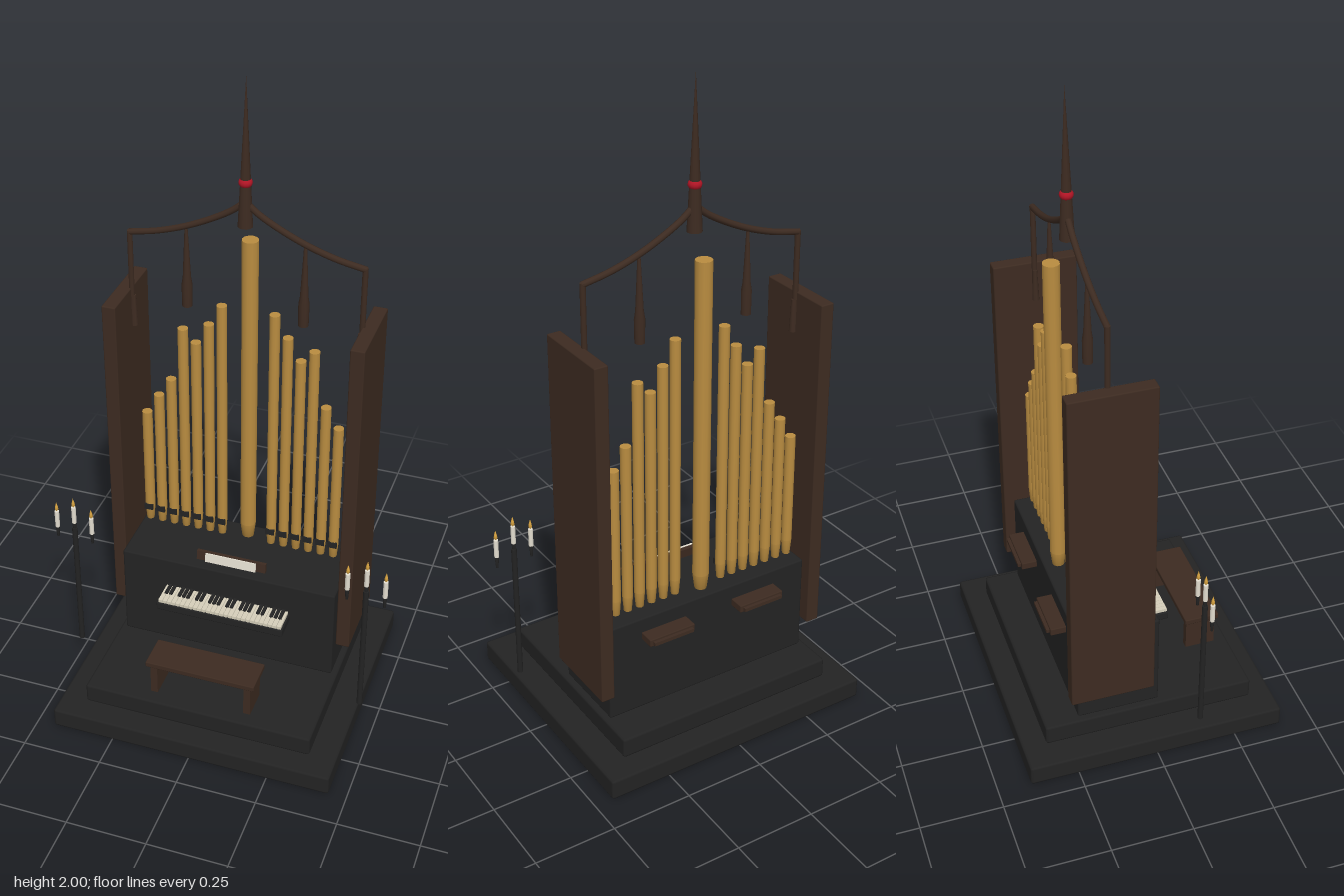
import * as THREE from 'three';
import { RoundedBoxGeometry } from 'three/addons/geometries/RoundedBoxGeometry.js';

const mat = (name, color) => {
  const m = new THREE.MeshStandardMaterial({ color });
  m.name = name;
  return m;
};

export function createModel() {
  const model = new THREE.Group();
  model.name = 'pipeOrgan';
  const black = mat('blackLacquer', 0x232323);
  const wood = mat('darkWood', 0x3d2b21);
  const gold = mat('pipeGold', 0xb98c40);
  const ivory = mat('ivory', 0xd6cfba);
  const wax = mat('wax', 0xe6e0d2);
  const flameMat = mat('flame', 0xd9a441);
  const red = mat('redGem', 0xb01525);

  const add = (name, geo, material, x = 0, y = 0, z = 0, parent = model) => {
    const m = new THREE.Mesh(geo, material);
    m.name = name;
    m.position.set(x, y, z);
    parent.add(m);
    return m;
  };
  // Boxes are given by their minimum and maximum corners
  const box = (name, a, b, material, bevel = 0, parent = model) => {
    const s = b.map((v, i) => v - a[i]);
    const geo = bevel ? new RoundedBoxGeometry(s[0], s[1], s[2], 1, bevel) : new THREE.BoxGeometry(...s);
    return add(name, geo, material, ...a.map((v, i) => (v + b[i]) / 2), parent);
  };
  const lathe = (pts, sides = 12) =>
    new THREE.LatheGeometry(pts.map(p => new THREE.Vector2(...p)), sides);

  // Stepped platform and console
  box('basePlinth', [-0.445, 0, -0.4], [0.445, 0.065, 0.4], black, 0.008);
  box('upperStep', [-0.363, 0.065, -0.328], [0.363, 0.13, 0.328], black, 0.008);
  box('consoleBody', [-0.345, 0.13, -0.222], [0.345, 0.445, 0.033], black, 0.006);

  // Tall side panels
  for (const s of [-1, 1]) {
    const panel = box('sidePanel', [-0.0215, 0.228, -0.253], [0.0215, 1.304, 0.003], wood, 0.004);
    panel.position.x = s * 0.368;
  }

  // Keyboard
  box('keyShelf', [-0.205, 0.31, 0.03], [0.205, 0.336, 0.113], black, 0.004);
  const keys = new THREE.Group();
  keys.name = 'keyboard';
  model.add(keys);
  const count = 28, pitch = 0.4 / count;
  for (let i = 0; i < count; i++) {
    const x = -0.2 + i * pitch;
    box('whiteKey', [x + 0.0007, 0.335, 0.032], [x + pitch - 0.0007, 0.346, 0.109], ivory, 0, keys);
    if (![2, 6].includes(i % 7)) {
      const c = x + pitch;
      box('blackKey', [c - 0.005, 0.34, 0.032], [c + 0.005, 0.352, 0.075], black, 0, keys);
    }
  }

  // Music desk with its sheet
  const desk = box('musicDesk', [-0.112, 0.442, -0.018], [0.112, 0.475, -0.006], wood);
  desk.rotation.x = -0.12;
  const sheet = box('musicSheet', [-0.082, 0.446, -0.004], [0.082, 0.476, 0.001], wax);
  sheet.rotation.x = -0.12;

  // Bench
  box('benchSeat', [-0.174, 0.234, 0.182], [0.174, 0.252, 0.292], wood, 0.003);
  for (const s of [-1, 1]) {
    box('benchLeg', [s * 0.15 - 0.011, 0.13, 0.19], [s * 0.15 + 0.011, 0.236, 0.284], wood);
  }

  // Ledges on the back
  for (const s of [-1, 1]) {
    box('backLedge', [s * 0.158 - 0.077, 0.374, -0.27], [s * 0.158 + 0.077, 0.398, -0.22], wood, 0.003);
    box('ledgeLip', [s * 0.158 - 0.067, 0.38, -0.28], [s * 0.158 + 0.067, 0.391, -0.26], wood);
  }

  // Pipes with tapered feet and dark mouths
  const pipe = (x, z, r, top) => add('organPipe', lathe([
    [0, 0.44], [r * 0.72, 0.44], [r, 0.495], [r, 0.495], [r, top], [r, top], [0, top],
  ]), gold, x, 0, z);
  const tops = [1.275, 1.205, 1.135, 1.175, 0.99, 0.925, 0.855];
  tops.forEach((top, i) => {
    for (const s of [-1, 1]) {
      const x = s * (0.081 + i * 0.0407);
      pipe(x, -0.16, 0.016, top);
      box('pipeMouth', [x - 0.014, 0.486, -0.148], [x + 0.014, 0.506, -0.142], black);
    }
  });
  pipe(0, -0.175, 0.025, 1.495);

  // Arched canopy, posts and hanging drops
  const Z = -0.128;
  const tassel = [[0, 0], [0.015, 0], [0.015, 0], [0.016, 0.07], [0.012, 0.095], [0.004, 0.26], [0, 0.26]];
  for (const s of [-1, 1]) {
    const path = new THREE.CatmullRomCurve3([[0.35, 1.485], [0.262, 1.503], [0.175, 1.532],
      [0.09, 1.572], [0.035, 1.605], [0, 1.635]].map(p => new THREE.Vector3(s * p[0], p[1], Z)));
    add('canopyArch', new THREE.TubeGeometry(path, 24, 0.0095, 8), wood);
    add('canopyPost', new THREE.CylinderGeometry(0.0085, 0.0085, 0.31, 8), wood, s * 0.347, 1.335, Z);
    add('postDrop', new THREE.CylinderGeometry(0.007, 0.011, 0.1, 8), wood, s * 0.342, 1.23, Z);
    add('hangingDrop', lathe(tassel, 10), wood, s * 0.175, 1.275, Z);
  }

  // Spire and its red gem
  add('spire', new THREE.ConeGeometry(0.022, 0.44, 12), wood, 0, 1.78, Z);
  const gem = add('spireGem', new THREE.SphereGeometry(0.02, 14, 10), red, 0, 1.693, Z);
  gem.scale.y = 0.8;

  // Candle stands
  const candle = (x, y) => {
    add('candleCup', lathe([[0, 0], [0.004, 0], [0.007, 0.04], [0, 0.04]], 8), black, x, y, 0.125);
    add('candle', new THREE.CylinderGeometry(0.0075, 0.0075, 0.058, 8), wax, x, y + 0.066, 0.125);
    add('candleFlame', lathe([[0, 0], [0.006, 0.008], [0.0045, 0.018], [0, 0.034]], 8), flameMat, x, y + 0.094, 0.125);
  };
  for (const s of [-1, 1]) {
    add('candlePole', new THREE.CylinderGeometry(0.0085, 0.0085, 0.445, 10), black, s * 0.461, 0.3525, 0.125);
    candle(s * 0.461, 0.558);
    candle(s * 0.404, 0.53);
    candle(s * 0.518, 0.53);
  }
  return model;
}
